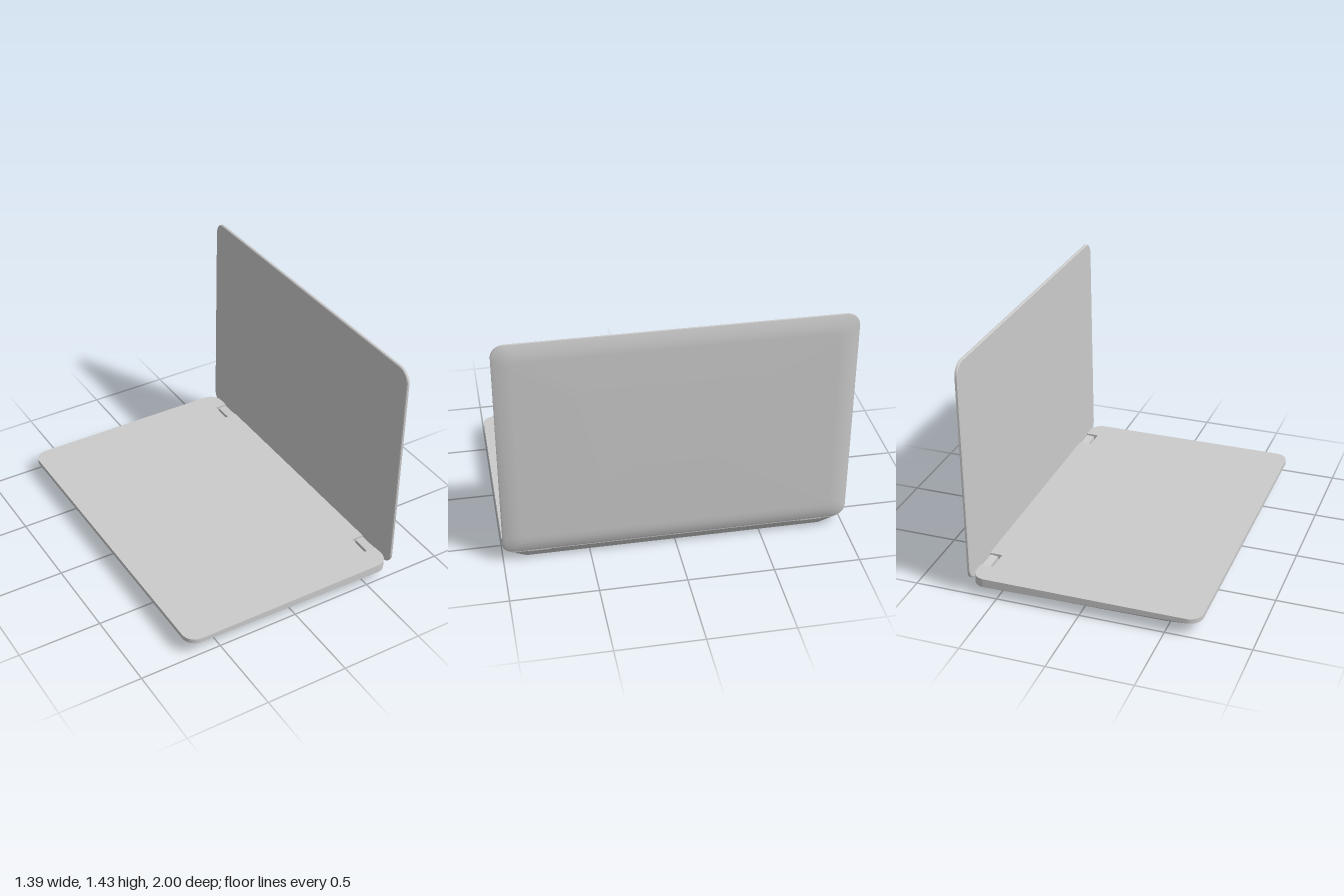
import * as THREE from 'three';
import { toCreasedNormals } from 'three/addons/utils/BufferGeometryUtils.js';

const material = new THREE.MeshStandardMaterial({ color: 0xcccccc, roughness: 0.7 });
const STEPS = 8;

// Rounded rectangle in the xz plane, counter-clockwise seen from above
function ring(x0, x1, halfZ, r, height) {
  const pts = [];
  const corners = [[x1 - r, -halfZ + r], [x0 + r, -halfZ + r], [x0 + r, halfZ - r], [x1 - r, halfZ - r]];
  corners.forEach(([cx, cz], k) => {
    for (let i = 0; i <= STEPS; i++) {
      const a = (k + i / STEPS) * Math.PI / 2;
      const x = cx + r * Math.cos(a);
      pts.push([x, height(x), cz - r * Math.sin(a)]);
    }
  });
  return pts;
}

// Smooth walls through the rings (lowest first) with flat caps at both ends
function loft(rings) {
  const pos = [], idx = [], n = rings[0].length;
  rings.forEach(r => r.forEach(p => pos.push(...p)));
  for (let j = 0; j < rings.length - 1; j++) {
    for (let i = 0; i < n; i++) {
      const a = j * n + i, b = j * n + (i + 1) % n;
      idx.push(a, b, b + n, a, b + n, a + n);
    }
  }
  [rings[0], rings[rings.length - 1]].forEach((r, top) => {
    const s = pos.length / 3;
    r.forEach(p => pos.push(...p));
    pos.push(...[0, 1, 2].map(k => r.reduce((t, p) => t + p[k], 0) / n));
    for (let i = 0; i < n; i++) {
      const a = s + i, b = s + (i + 1) % n;
      idx.push(s + n, top ? a : b, top ? b : a);
    }
  });
  const g = new THREE.BufferGeometry();
  g.setAttribute('position', new THREE.Float32BufferAttribute(pos, 3));
  g.setIndex(idx);
  g.computeVertexNormals();
  return g;
}

function add(group, name, geometry) {
  const mesh = new THREE.Mesh(geometry, material);
  mesh.name = name;
  group.add(mesh);
  return mesh;
}

export function createModel() {
  const laptop = new THREE.Group();
  laptop.name = 'laptop';

  // Heights along the base: lower edge of the rim and the underside
  const rimY = x => 0.09 - 0.028 * (x + 0.7) / 1.355;
  const floorY = x => 0.015 - 0.013 * (x + 0.54) / 1.155;
  const topY = 0.117, front = -0.7, back = 0.655, r = 0.08;

  // Tapered lower shell
  add(laptop, 'baseShell', loft([
    ring(-0.54, 0.615, 0.91, 0.06, floorY),
    ring(front, back, 1, r, rimY),
  ]));

  // Rim and deck, with two hinge notches in the back edge
  const deck = new THREE.Shape();
  deck.moveTo(front + r, -1);
  deck.lineTo(back - r, -1);
  deck.absarc(back - r, -1 + r, r, -Math.PI / 2, 0, false);
  for (const [a, b] of [[-0.86, -0.73], [0.73, 0.86]]) {
    deck.lineTo(back, a);
    deck.lineTo(0.578, a);
    deck.lineTo(0.578, b);
    deck.lineTo(back, b);
  }
  deck.absarc(back - r, 1 - r, r, 0, Math.PI / 2, false);
  deck.absarc(front + r, 1 - r, r, Math.PI / 2, Math.PI, false);
  deck.absarc(front + r, -1 + r, r, Math.PI, Math.PI * 1.5, false);
  const deckGeo = new THREE.ExtrudeGeometry(deck, { depth: 1, bevelEnabled: false, curveSegments: STEPS });
  deckGeo.rotateX(-Math.PI / 2);
  const p = deckGeo.attributes.position;
  for (let i = 0; i < p.count; i++) p.setY(i, p.getY(i) > 0.5 ? topY : rimY(p.getX(i)));
  add(laptop, 'baseDeck', toCreasedNormals(deckGeo, 0.5));

  // Hinges
  const hinge = new THREE.Shape([
    [0.603, 0.064], [0.65, 0.064], [0.672, 0.072], [0.674, 0.1], [0.65, 0.11], [0.603, 0.104],
  ].map(([x, y]) => new THREE.Vector2(x, y)));
  const hingeGeo = new THREE.ExtrudeGeometry(hinge, { depth: 0.124, bevelEnabled: false });
  hingeGeo.translate(0, 0, -0.062);
  for (const [name, z] of [['leftHinge', -0.795], ['rightHinge', 0.795]]) {
    add(laptop, name, hingeGeo).position.z = z;
  }

  // Screen lid: modelled lying down (local x is minus height), then stood up
  const lean = d => x => d + 0.006 * (-x - 0.08) / 1.355;
  const lid = loft([
    ring(-1.43, -0.085, 0.995, 0.07, lean(0.656)),
    ring(-1.435, -0.08, 1, 0.075, lean(0.66)),
    ring(-1.435, -0.08, 1, 0.075, lean(0.672)),
    ring(-1.42, -0.1, 0.982, 0.07, () => 0.682),
    ring(-1.37, -0.15, 0.93, 0.06, () => 0.694),
    ring(-1.33, -0.19, 0.89, 0.05, () => 0.695),
  ]);
  lid.rotateZ(-Math.PI / 2);
  add(laptop, 'screenLid', toCreasedNormals(lid, 0.6));

  return laptop;
}
